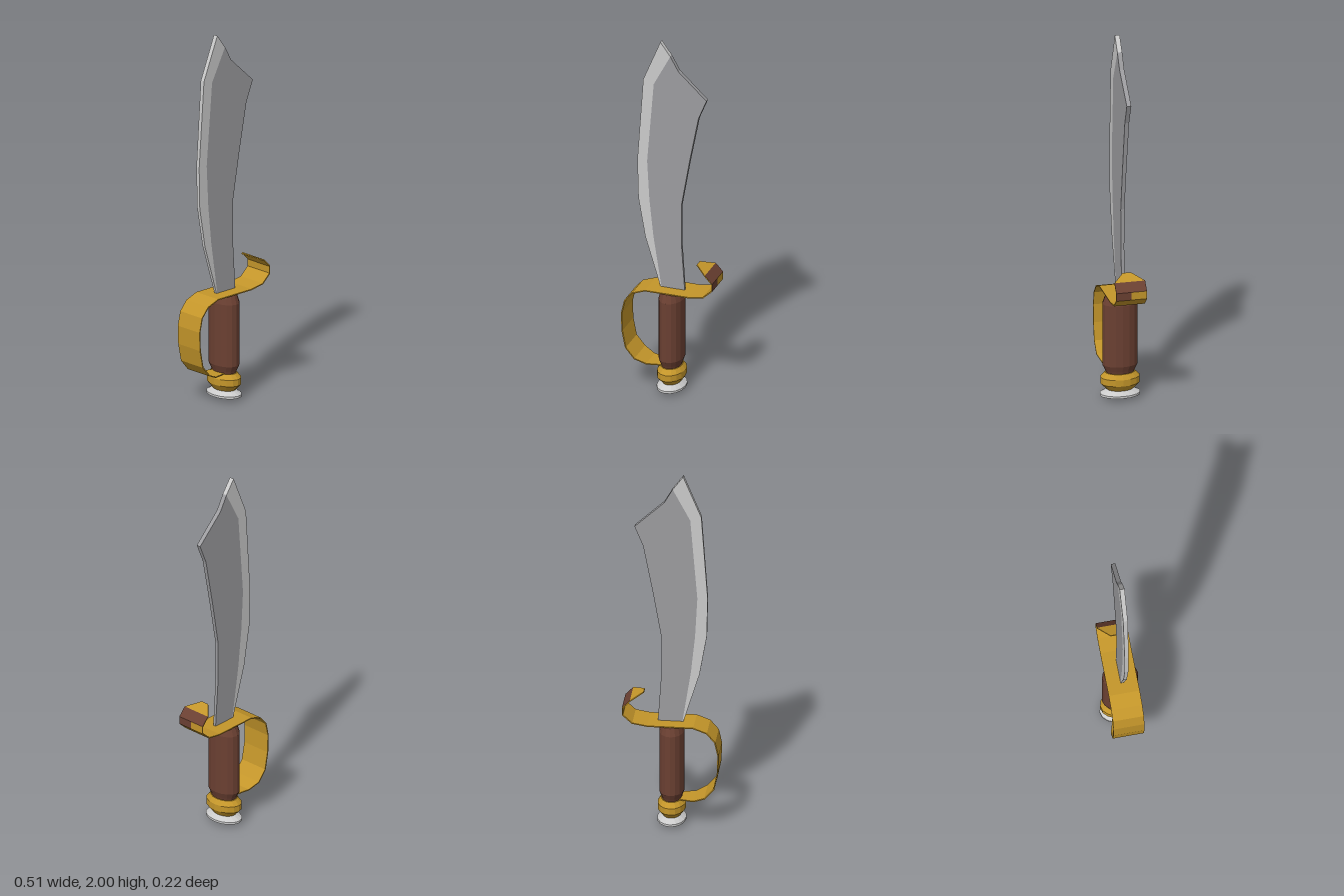
import * as THREE from 'three';

const mat = (color, side = THREE.FrontSide) =>
  new THREE.MeshStandardMaterial({ color, flatShading: true, side });
const GOLD = 0xc4962a, BROWN = 0x6b4032, STEEL = 0x9c9c9f, BRIGHT = 0xc2c2c6;

// Oval turned part: profile of [radius along z, y], narrower along x
function turned(name, color, profile) {
  const geo = new THREE.LatheGeometry(profile.map(([r, y]) => new THREE.Vector2(r, y)), 16);
  geo.scale(0.7, 1, 1);
  const mesh = new THREE.Mesh(geo, mat(color));
  mesh.name = name;
  return mesh;
}

// Flat plate that grows slightly thicker toward the tip
function plate(name, color, outline) {
  const shape = new THREE.Shape(outline.map(([x, y]) => new THREE.Vector2(x, y)));
  const geo = new THREE.ExtrudeGeometry(shape, { depth: 1, bevelEnabled: false });
  geo.translate(0, 0, -0.5);
  const p = geo.attributes.position;
  for (let i = 0; i < p.count; i++) {
    const t = (p.getY(i) - 0.58) / 1.42;
    p.setZ(i, p.getZ(i) * (0.016 + 0.01 * t));
  }
  geo.computeVertexNormals();
  const mesh = new THREE.Mesh(geo, mat(color));
  mesh.name = name;
  return mesh;
}

// Guard centreline: x, y, half width
const guardPath = [
  [-0.02, 0.147, 0.04], [-0.12, 0.15, 0.065], [-0.18, 0.178, 0.082], [-0.228, 0.235, 0.082],
  [-0.247, 0.33, 0.082], [-0.25, 0.43, 0.082], [-0.233, 0.505, 0.082], [-0.19, 0.555, 0.082],
  [-0.12, 0.581, 0.082], [0, 0.581, 0.082], [0.12, 0.581, 0.082], [0.2, 0.594, 0.082],
  [0.25, 0.64, 0.082], [0.25, 0.68, 0.082], [0.21, 0.722, 0.082], [0.145, 0.748, 0.022],
];

function guard() {
  const group = new THREE.Group();
  group.name = 'guard';
  const half = 0.003, last = guardPath.length - 1;
  // Two offset points (upper and lower side of the strip) at every station
  const stations = guardPath.map(([x, y, w], i) => {
    const a = guardPath[Math.max(i - 1, 0)], b = guardPath[Math.min(i + 1, last)];
    const n = new THREE.Vector2(a[1] - b[1], b[0] - a[0]).normalize().multiplyScalar(half);
    return { up: [x + n.x, y + n.y], down: [x - n.x, y - n.y], w };
  });
  const gold = [], brown = [];
  const quad = (out, a, b, c, d) => out.push(...a, ...b, ...c, ...a, ...c, ...d);
  for (let i = 0; i < last; i++) {
    const s = stations[i], e = stations[i + 1];
    const at = (st, side, k) => [...st[side], st.w * k];
    quad(gold, at(s, 'up', 1), at(e, 'up', 1), at(e, 'up', -1), at(s, 'up', -1));
    // Leather patches cover part of the hook's outer side
    const backHalf = i === 13 ? brown : gold;
    const frontHalf = i === 12 || i === 13 ? brown : gold;
    quad(backHalf, at(s, 'down', -1), at(e, 'down', -1), at(e, 'down', 0), at(s, 'down', 0));
    quad(frontHalf, at(s, 'down', 0), at(e, 'down', 0), at(e, 'down', 1), at(s, 'down', 1));
    quad(gold, at(s, 'down', 1), at(e, 'down', 1), at(e, 'up', 1), at(s, 'up', 1));
    quad(gold, at(s, 'up', -1), at(e, 'up', -1), at(e, 'down', -1), at(s, 'down', -1));
    if (i === last - 1) quad(gold, at(e, 'down', 1), at(e, 'down', -1), at(e, 'up', -1), at(e, 'up', 1));
  }
  for (const [name, color, list] of [['guardStrip', GOLD, gold], ['guardPatch', BROWN, brown]]) {
    const geo = new THREE.BufferGeometry();
    geo.setAttribute('position', new THREE.Float32BufferAttribute(list, 3));
    geo.computeVertexNormals();
    const mesh = new THREE.Mesh(geo, mat(color, THREE.DoubleSide));
    mesh.name = name;
    group.add(mesh);
  }
  return group;
}

export function createModel() {
  const model = new THREE.Group();
  model.name = 'sabre';

  // Blade: body and bright bevel share one inner line
  const inner = [[-0.055, 0.58], [-0.1, 0.87], [-0.122, 1.08], [-0.134, 1.3], [-0.097, 1.75], [-0.005, 1.925]];
  const body = [[0.073, 0.58], [0.055, 0.85], [0.055, 1.07], [0.1, 1.33], [0.15, 1.59], [0.195, 1.7], [0.04, 1.845]];
  const edge = [[-0.06, 2], [-0.155, 1.77], [-0.188, 1.3], [-0.183, 1.08], [-0.145, 0.86], [-0.06, 0.58]];
  model.add(plate('bladeBody', STEEL, [...body, ...[...inner].reverse()]));
  model.add(plate('bladeEdge', BRIGHT, [...inner, ...edge]));

  // Grip, collar and pommel cap
  model.add(turned('grip', BROWN, [[0, 0.14], [0.074, 0.145], [0.08, 0.16], [0.095, 0.19],
    [0.095, 0.53], [0.08, 0.57], [0.07, 0.58], [0, 0.58]]));
  model.add(turned('collar', GOLD, [[0, 0.045], [0.07, 0.05], [0.105, 0.085],
    [0.105, 0.12], [0.08, 0.145], [0, 0.147]]));
  model.add(turned('pommelCap', BRIGHT, [[0, 0], [0.065, 0.008], [0.108, 0.018],
    [0.108, 0.03], [0.07, 0.05], [0, 0.052]]));

  model.add(guard());
  return model;
}
